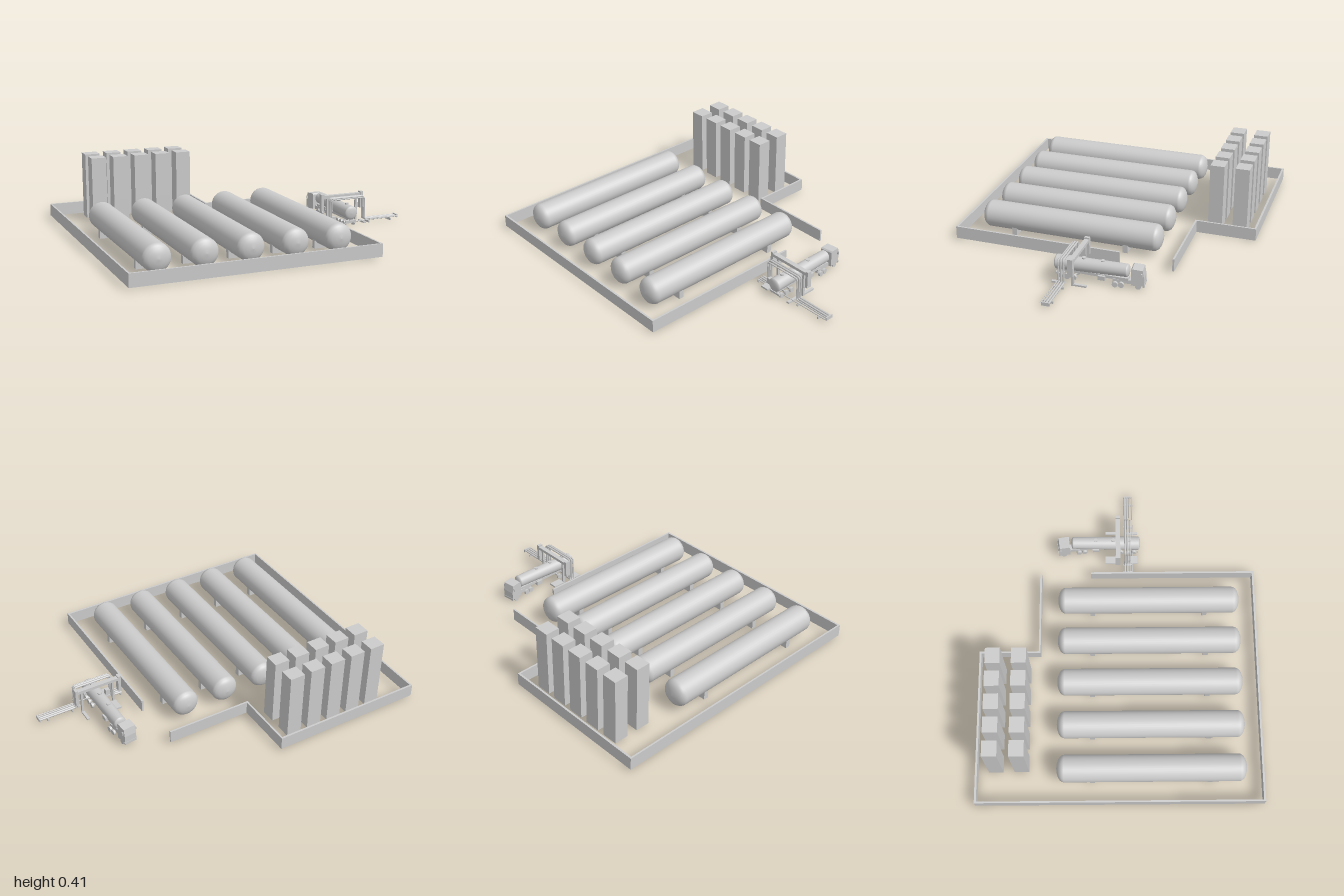
import * as THREE from 'three';

const mat = new THREE.MeshStandardMaterial({ color: 0xcccccc, side: THREE.DoubleSide });

function add(parent, name, geo, x = 0, y = 0, z = 0) {
  const m = new THREE.Mesh(geo, mat);
  m.name = name;
  m.position.set(x, y, z);
  parent.add(m);
  return m;
}

// Box given by its minimum and maximum on each axis
function span(parent, name, x0, x1, y0, y1, z0, z1) {
  return add(parent, name, new THREE.BoxGeometry(x1 - x0, y1 - y0, z1 - z0),
    (x0 + x1) / 2, (y0 + y1) / 2, (z0 + z1) / 2);
}

// Pipe with straight runs and slightly rounded bends
function pipe(parent, name, pts, r) {
  const v = pts.map(p => new THREE.Vector3(...p));
  const path = new THREE.CurvePath();
  let from = v[0];
  for (let i = 1; i < v.length - 1; i++) {
    const a = v[i].clone().add(v[i - 1].clone().sub(v[i]).setLength(0.012));
    const b = v[i].clone().add(v[i + 1].clone().sub(v[i]).setLength(0.012));
    path.add(new THREE.LineCurve3(from, a));
    path.add(new THREE.QuadraticBezierCurve3(a, v[i], b));
    from = b;
  }
  path.add(new THREE.LineCurve3(from, v[v.length - 1]));
  return add(parent, name, new THREE.TubeGeometry(path, 90, r, 8), 0, 0, 0);
}

// Closed cylinder with shallow domed ends, lying along z
function vessel(r, length, dome) {
  const half = length / 2, pts = [];
  const end = [[0, 0], [0.35, 0.07], [0.65, 0.24], [0.85, 0.46], [0.96, 0.74], [1, 1]];
  for (const [a, b] of end) pts.push(new THREE.Vector2(a * r, -half + b * dome));
  for (const [a, b] of [...end].reverse()) pts.push(new THREE.Vector2(a * r, half - b * dome));
  return new THREE.LatheGeometry(pts, 40).rotateX(Math.PI / 2);
}

function storageTanks() {
  const g = new THREE.Group();
  g.name = 'storageTanks';
  const geo = vessel(0.08, 1.11, 0.045);
  for (let i = 0; i < 5; i++) {
    const x = -0.805 + i * 0.2625;
    add(g, 'tank', geo, x, 0.107, 0.185);
    for (const z of [-0.16, 0.53]) span(g, 'saddle', x - 0.065, x + 0.065, 0.01, 0.07, z - 0.015, z + 0.015);
  }
  return g;
}

function stackedCrates() {
  const g = new THREE.Group();
  g.name = 'crateStacks';
  for (let i = 0; i < 5; i++) {
    const x = -0.757 + i * 0.1365;
    for (const z of [-0.728, -0.577])
      for (let k = 0; k < 3; k++)
        span(g, 'crate', x - 0.046, x + 0.046, 0.01 + k * 0.135, 0.145 + k * 0.135, z - 0.043, z + 0.043);
  }
  return g;
}

function boundaryWall() {
  const g = new THREE.Group();
  g.name = 'boundaryWall';
  const w = (x0, x1, z0, z1) => span(g, 'wallSection', x0, x1, 0.01, 0.085, z0, z1);
  w(-1, -0.99, -0.845, 0.845);
  w(-0.99, -0.075, -0.845, -0.833);
  w(-0.086, -0.075, -0.833, -0.475);
  w(-0.075, 0.43, -0.486, -0.475);
  w(0.433, 0.444, 0.17 - 0.34, 0.845);
  w(-0.99, 0.433, 0.833, 0.845);
  return g;
}

function tankTruck() {
  const g = new THREE.Group();
  g.name = 'tankTruck';
  // Tank barrel, a little slimmer toward the cab
  const barrel = vessel(0.042, 0.435, 0.014);
  const p = barrel.attributes.position;
  for (let i = 0; i < p.count; i++) {
    const s = 1 - 0.13 * (0.5 - p.getZ(i) / 0.435);
    p.setXY(i, p.getX(i) * s, p.getY(i) * s);
  }
  barrel.computeVertexNormals();
  add(g, 'barrel', barrel, 0.642, 0.089, -0.077).rotation.x = 0.03;
  for (const z of [-0.14, -0.03, 0.07]) add(g, 'hatch', new THREE.CylinderGeometry(0.012, 0.012, 0.012, 16), 0.642, 0.128, z);
  span(g, 'trailerFrame', 0.622, 0.662, 0.038, 0.055, -0.29, 0.125);
  span(g, 'sideLocker', 0.608, 0.676, 0.025, 0.05, -0.16, -0.12);
  span(g, 'rearBumper', 0.606, 0.678, 0.022, 0.034, 0.118, 0.126);

  const wheel = new THREE.CylinderGeometry(0.016, 0.016, 0.014, 20).rotateZ(Math.PI / 2);
  const axle = (parent, x, z) => {
    for (const s of [-1, 1]) add(parent, 'wheel', wheel, x + s * 0.031, 0.016, z);
    span(parent, 'axle', x - 0.031, x + 0.031, 0.012, 0.02, z - 0.004, z + 0.004);
  };
  for (const z of [0.02, 0.06, 0.1]) axle(g, 0.642, z);

  // Tractor, turned slightly against the trailer
  const t = new THREE.Group();
  t.name = 'tractor';
  t.position.set(0.641, 0, -0.25);
  t.rotation.y = 0.12;
  g.add(t);
  span(t, 'tractorFrame', -0.02, 0.02, 0.02, 0.042, -0.07, 0.05);
  const cab = new THREE.Shape([[-0.128, 0.022], [-0.128, 0.07], [-0.12, 0.118], [-0.062, 0.123], [-0.055, 0.115], [-0.055, 0.022]]
    .map(([z, y]) => new THREE.Vector2(-z, y)));
  add(t, 'cab', new THREE.ExtrudeGeometry(cab, { depth: 0.076, bevelEnabled: false }).translate(0, 0, -0.038).rotateY(Math.PI / 2));
  span(t, 'frontBumper', -0.039, 0.039, 0.016, 0.03, -0.13, -0.12);
  for (const s of [-1, 1]) span(t, 'mirror', s * 0.043 - 0.004, s * 0.043 + 0.004, 0.08, 0.1, -0.118, -0.112);
  for (const z of [-0.095, 0.0, 0.035]) axle(t, 0, z);
  return g;
}

function loadingGantry() {
  const g = new THREE.Group();
  g.name = 'loadingGantry';
  // Overhead beam with hanging end posts
  span(g, 'crossBeam', 0.5, 0.785, 0.158, 0.176, -0.014, 0.014);
  for (const x of [0.505, 0.777]) span(g, 'endPost', x - 0.009, x + 0.009, 0.08, 0.185, -0.015, 0.015);
  for (const x of [0.545, 0.744]) span(g, 'column', x - 0.006, x + 0.006, 0.005, 0.16, -0.007, 0.007);
  // Service platforms on both sides of the bay
  for (const [z0, z1] of [[-0.08, -0.005], [0.05, 0.122]]) {
    span(g, 'platform', 0.532, 0.582, 0.008, 0.018, z0, z1);
    span(g, 'kerb', 0.735, 0.752, 0.008, 0.018, z0, z1);
  }
  span(g, 'leftPump', 0.537, 0.565, 0.018, 0.055, 0.055, 0.08);
  // Pipes arching over the bay and running off to the side
  [0.045, 0.06, 0.075, 0.09].forEach((z, i) => {
    const r = i < 2 ? 0.006 : 0.004, top = i < 2 ? 0.165 : 0.16;
    if (i < 3) pipe(g, 'archPipe', [[0.47, 0.014, z], [0.535, 0.014, z], [0.535, top, z],
      [0.765, top, z], [0.765, 0.022, z], [0.998, 0.022, z]], r);
    else pipe(g, 'groundPipe', [[0.47, 0.014, z], [0.998, 0.022, z]], 0.003);
  });
  for (const x of [0.477, 0.525, 0.79, 0.945]) span(g, 'pipeSupport', x - 0.004, x + 0.004, 0, 0.014, 0.035, 0.095);
  span(g, 'pipeEnd', 0.992, 1, 0.012, 0.032, 0.036, 0.084);
  return g;
}

export function createModel() {
  const model = new THREE.Group();
  model.name = 'tankFarm';
  model.add(boundaryWall(), storageTanks(), stackedCrates(), tankTruck(), loadingGantry());
  return model;
}
